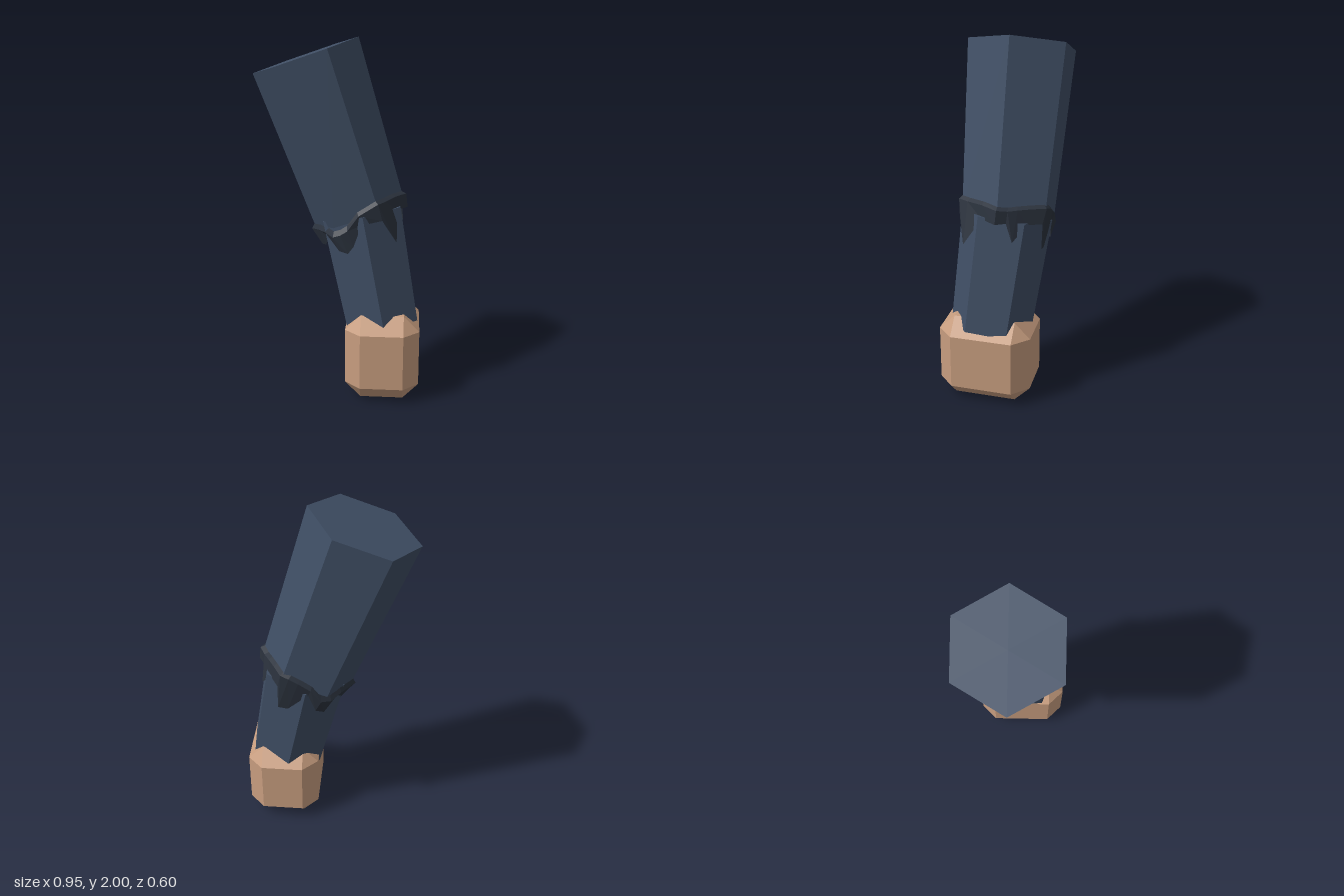
import * as THREE from 'three';
import { ConvexGeometry } from 'three/addons/geometries/ConvexGeometry.js';

const mat = (color, side = THREE.FrontSide) =>
  new THREE.MeshStandardMaterial({ color, flatShading: true, side });
const V = (x, y, z) => new THREE.Vector3(x, y, z);

// Local frame whose y axis runs from bottom to top and whose x axis leans toward world x
function frame(top, bottom, origin) {
  const y = top.clone().sub(bottom).normalize();
  const x = V(1, 0, 0).addScaledVector(y, -y.x).normalize();
  const z = x.clone().cross(y);
  return new THREE.Matrix4().makeBasis(x, y, z).setPosition(origin);
}

// Tapered six-sided limb between two points
function limb(name, top, bottom, rTop, rBottom, phase, material) {
  const geo = new THREE.CylinderGeometry(rTop, rBottom, top.distanceTo(bottom), 6, 1, false, phase);
  geo.applyMatrix4(frame(top, bottom, top.clone().lerp(bottom, 0.5)));
  const mesh = new THREE.Mesh(geo, material);
  mesh.name = name;
  return mesh;
}

// Box with all edges and corners cut off
function chamferedBox(w, h, d, c) {
  const pts = [];
  for (const sx of [-1, 1]) for (const sy of [-1, 1]) for (const sz of [-1, 1]) {
    for (let face = 0; face < 3; face++) {
      const half = [w / 2, h / 2, d / 2].map((v, i) => (i === face ? v : v - c));
      pts.push(V(sx * half[0], sy * half[1], sz * half[2]));
    }
  }
  return new ConvexGeometry(pts);
}

// Ragged band: each column is [angle in degrees, upper height, lower height]
function raggedBand(columns) {
  const pos = [], index = [], n = columns.length;
  columns.forEach(([deg, up, low]) => {
    const a = THREE.MathUtils.degToRad(deg);
    // hexagonal radius factor, corners at multiples of 60 degrees
    const k = Math.cos(Math.PI / 6) / Math.cos((((deg % 60) + 60) % 60 - 30) * Math.PI / 180);
    const rings = [[0.262, up + 0.01], [0.288, up - 0.015], [0.272, low]];
    for (const [r, y] of rings) {
      pos.push(Math.cos(a) * r * k, y, Math.sin(a) * r * k - Math.min(0, y) * 0.1);
    }
  });
  for (let i = 0; i < n; i++) {
    const a = i * 3, b = ((i + 1) % n) * 3;
    for (let j = 0; j < 2; j++) {
      index.push(a + j, b + j, a + j + 1, b + j, b + j + 1, a + j + 1);
    }
  }
  const geo = new THREE.BufferGeometry();
  geo.setAttribute('position', new THREE.Float32BufferAttribute(pos, 3));
  geo.setIndex(index);
  geo.computeVertexNormals();
  return geo;
}

export function createModel() {
  const group = new THREE.Group();
  group.name = 'arm';
  const sleeve = mat(0x3f4e64);

  // Upper and lower sleeve
  const shoulder = V(-0.1825, 1.9, -0.03), elbow = V(0.116, 1.03, -0.03);
  group.add(limb('upperSleeve', shoulder, elbow, 0.309, 0.265, Math.PI / 2, sleeve));
  group.add(limb('lowerSleeve', V(0.13, 1.03, -0.023), V(0.258, 0.39, 0.037),
    0.252, 0.228, THREE.MathUtils.degToRad(5), sleeve));

  // Torn cuff hanging over the elbow
  const columns = [
    [0, 0.03, -0.06], [22, 0.05, -0.04], [47, 0.06, -0.19], [60, 0.07, -0.04],
    [85, 0.04, -0.03], [104, -0.02, -0.13], [113, -0.03, -0.157], [122, -0.03, -0.13],
    [140, -0.01, -0.05], [160, 0.0, -0.11], [172, 0.0, -0.11], [180, 0.0, -0.06],
    [198, 0.0, -0.1], [212, 0.0, -0.04], [232, -0.02, -0.14], [246, -0.02, -0.12],
    [262, 0.03, -0.03], [280, 0.05, -0.17], [292, 0.06, -0.18], [302, 0.06, -0.04],
    [320, 0.05, -0.05], [336, 0.04, -0.15], [348, 0.03, -0.05],
  ];
  const cuff = new THREE.Mesh(raggedBand(columns), mat(0x2b323d, THREE.DoubleSide));
  cuff.geometry.applyMatrix4(frame(shoulder, elbow, elbow));
  cuff.name = 'tornCuff';
  group.add(cuff);

  // Blocky fist
  const hand = new THREE.Mesh(chamferedBox(0.415, 0.49, 0.52, 0.088), mat(0xc79d7f));
  hand.position.set(0.265, 0.245, 0.04);
  hand.name = 'hand';
  group.add(hand);

  return group;
}
